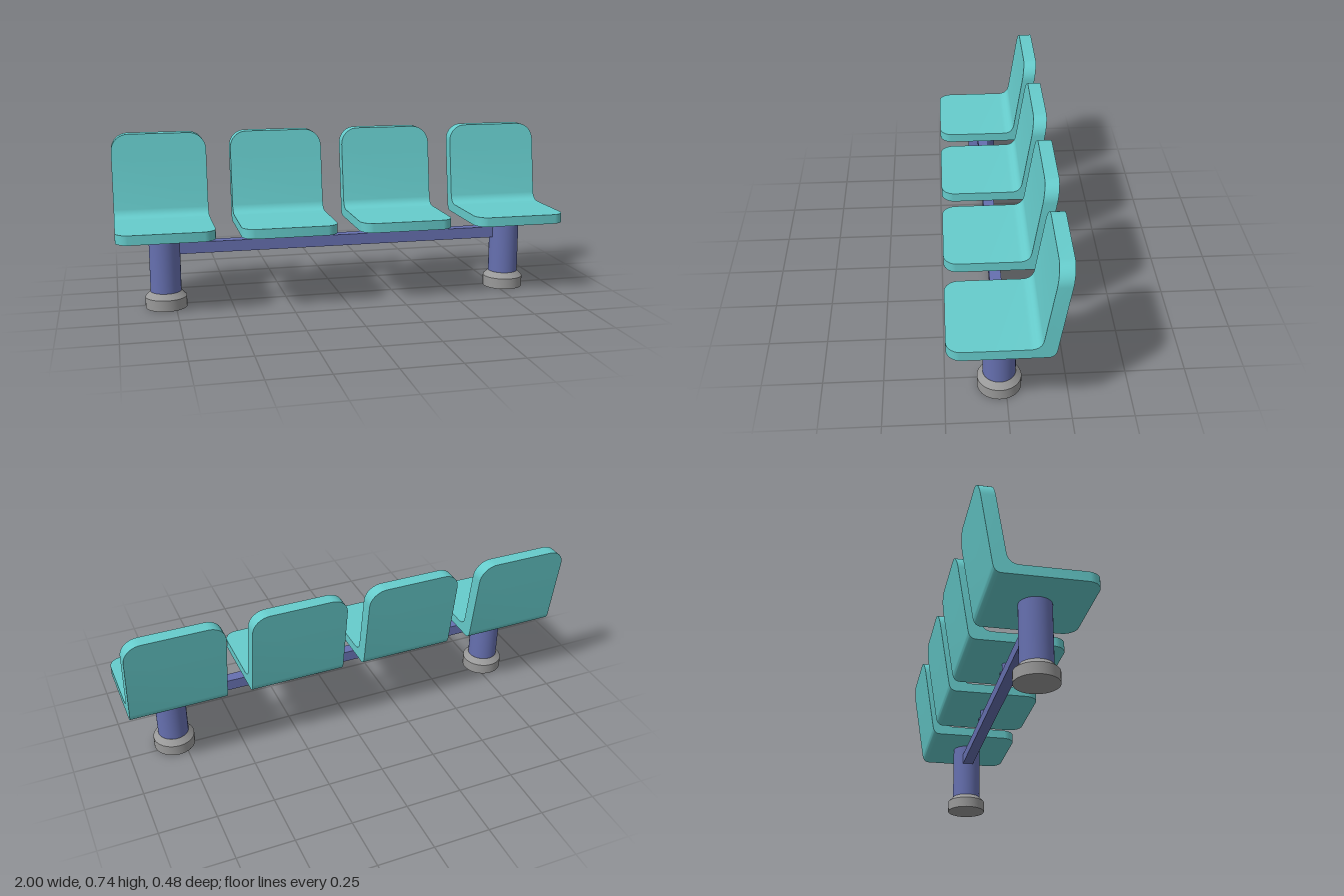
import * as THREE from 'three';
import { toCreasedNormals } from 'three/addons/utils/BufferGeometryUtils.js';

const teal = new THREE.MeshStandardMaterial({ color: 0x66cccc });
const blue = new THREE.MeshStandardMaterial({ color: 0x6670b0 });
const grey = new THREE.MeshStandardMaterial({ color: 0x999999 });

const HALF = 0.21;      // half seat width
const POST_Z = 0.027;   // depth of posts and beam
const STEPS = 10;

// Seat shell: cross-sections { upper [z,y], lower [z,y], half width } from the front edge to the top of the back
function seatGeometry() {
  const sections = [];
  const add = (u, l, w) => sections.push({ u, l, w });
  const lerp = (a, b, t) => [a[0] + (b[0] - a[0]) * t, a[1] + (b[1] - a[1]) * t];
  const bend = (a, c, b, t) => lerp(lerp(a, c, t), lerp(c, b, t), t);

  // rounded front corners
  const rf = 0.06;
  for (let i = 0; i <= STEPS; i++) {
    const a = (i / STEPS) * Math.PI / 2;
    const z = 0.24 - rf + rf * Math.cos(a);
    add([z, 0.375], [z, 0.333], HALF - rf + rf * Math.sin(a));
  }
  // bend between seat and back
  const backU = [-0.128, 0.42], backL = [-0.18, 0.37];
  for (let i = 0; i <= STEPS; i++) {
    const t = i / STEPS;
    add(bend([-0.075, 0.375], [-0.121, 0.375], backU, t),
      bend([-0.145, 0.333], [-0.174, 0.333], backL, t), HALF);
  }
  // leaning back with rounded top corners
  const top = 0.742, rt = 0.075;
  const along = (from, z, y) => [from[0] + (z - from[0]) * (y - from[1]) / (top - from[1]), y];
  for (let i = 0; i <= STEPS; i++) {
    const a = (i / STEPS) * Math.PI / 2;
    const y = top - rt + rt * Math.sin(a);
    add(along(backU, -0.178, y), along(backL, -0.237, y), HALF - rt + rt * Math.cos(a));
  }

  const pos = [];
  const quad = (a, b, c, d) => pos.push(...a, ...b, ...c, ...a, ...c, ...d);
  const pt = (s, key, side) => [side * s.w, s[key][1], s[key][0]];
  for (let i = 0; i < sections.length - 1; i++) {
    const p = sections[i], q = sections[i + 1];
    quad(pt(p, 'u', 1), pt(q, 'u', 1), pt(q, 'u', -1), pt(p, 'u', -1));
    quad(pt(p, 'l', -1), pt(q, 'l', -1), pt(q, 'l', 1), pt(p, 'l', 1));
    quad(pt(p, 'u', 1), pt(p, 'l', 1), pt(q, 'l', 1), pt(q, 'u', 1));
    quad(pt(q, 'u', -1), pt(q, 'l', -1), pt(p, 'l', -1), pt(p, 'u', -1));
  }
  // front and top end faces
  const f = sections[0], e = sections[sections.length - 1];
  quad(pt(f, 'u', 1), pt(f, 'u', -1), pt(f, 'l', -1), pt(f, 'l', 1));
  quad(pt(e, 'u', 1), pt(e, 'l', 1), pt(e, 'l', -1), pt(e, 'u', -1));

  const g = new THREE.BufferGeometry();
  g.setAttribute('position', new THREE.Float32BufferAttribute(pos, 3));
  return toCreasedNormals(g, 0.6);
}

export function createModel() {
  const bench = new THREE.Group();
  bench.name = 'seatRow';
  const part = (name, geo, mat, x = 0, y = 0, z = 0) => {
    const m = new THREE.Mesh(geo, mat);
    m.name = name;
    m.position.set(x, y, z);
    bench.add(m);
  };
  const cylinder = (r, h) => new THREE.CylinderGeometry(r, r, h, 40);

  // four seats
  const seat = seatGeometry();
  [-0.79, -0.26, 0.26, 0.79].forEach((x, i) => part('seat' + (i + 1), seat, teal, x));

  // crossbeam
  part('beam', new THREE.BoxGeometry(1.5, 0.05, 0.05), blue, 0, 0.263, POST_Z - 0.003);

  // chamfered foot profile
  const foot = toCreasedNormals(new THREE.LatheGeometry(
    [[0, 0], [0.091, 0], [0.091, 0.049], [0.068, 0.073], [0, 0.073]]
      .map(([r, y]) => new THREE.Vector2(r, y)), 40), 0.5);

  for (const [side, s] of [['left', 1], ['right', -1]]) {
    part(side + 'Post', cylinder(0.0675, 0.264), blue, s * 0.79, 0.202, POST_Z);
    part(side + 'Foot', foot, grey, s * 0.79, 0, POST_Z);
    // short supports under the middle seats
    part(side + 'Stem', cylinder(0.02, 0.06), blue, s * 0.258, 0.306, POST_Z - 0.003);
    part(side + 'StemFlange', cylinder(0.03, 0.006), blue, s * 0.258, 0.29, POST_Z - 0.003);
  }
  return bench;
}
